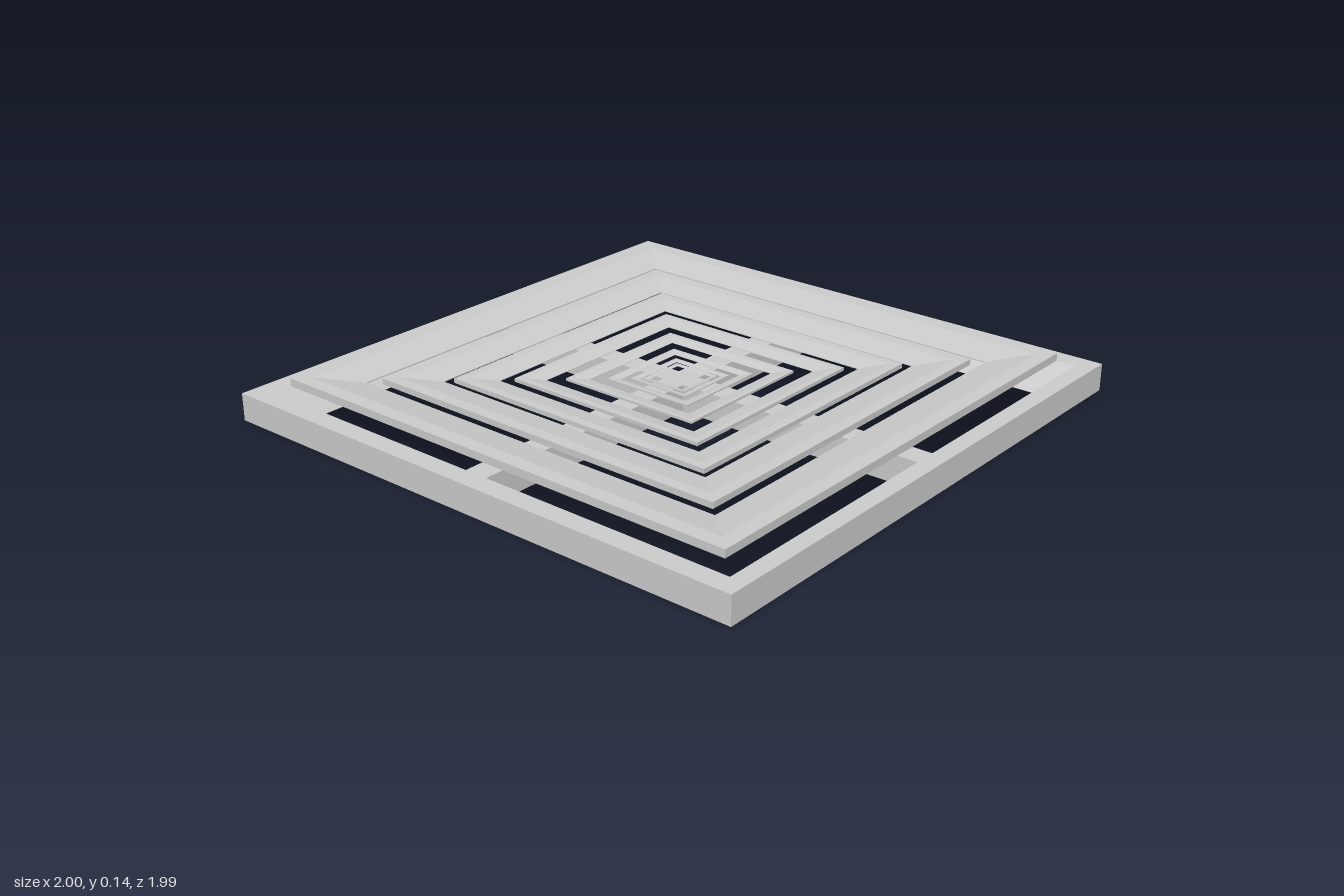
import * as THREE from 'three';

const material = new THREE.MeshStandardMaterial({ color: 0xcccccc, flatShading: true });

// Sweep a closed [halfX, halfZ, y] profile around the four mitred sides.
// Profile order: outer bottom, outer top, inner top, inner bottom.
function mitredFrame(name, profile) {
  const signs = [[-1, 1], [1, 1], [1, -1], [-1, -1]];
  const positions = [];
  for (let s = 0; s < 4; s++) {
    const a = signs[s], b = signs[(s + 1) % 4];
    const at = (p, c) => [p[0] * c[0], p[2], p[1] * c[1]];
    profile.forEach((p, i) => {
      const q = profile[(i + 1) % profile.length];
      positions.push(...at(p, a), ...at(p, b), ...at(q, b));
      positions.push(...at(p, a), ...at(q, b), ...at(q, a));
    });
  }
  const geometry = new THREE.BufferGeometry();
  geometry.setAttribute('position', new THREE.Float32BufferAttribute(positions, 3));
  geometry.computeVertexNormals();
  const mesh = new THREE.Mesh(geometry, material);
  mesh.name = name;
  return mesh;
}

function box(name, w, h, d, x, y, z) {
  const mesh = new THREE.Mesh(new THREE.BoxGeometry(w, h, d), material);
  mesh.position.set(x, y, z);
  mesh.name = name;
  return mesh;
}

export function createModel() {
  const model = new THREE.Group();
  model.name = 'ceilingDiffuser';
  const deck = 0.095;

  // Outer frame with a funnel-shaped opening
  model.add(mitredFrame('outerFrame', [
    [1, 0.995, 0], [1, 0.995, deck], [0.94, 0.925, deck], [0.84, 0.83, 0],
  ]));

  // Crossed support bars, flush with the frame
  const bars = new THREE.Group();
  bars.name = 'supportBars';
  bars.add(box('barAcross', 1.9, 0.094, 0.08, 0, 0.0475, -0.004));
  bars.add(box('barFrontToBack', 0.084, 0.094, 1.88, -0.001, 0.0475, 0));
  model.add(bars);

  // Nested louvre rings: [outer half size, inner half size]
  const louvres = new THREE.Group();
  louvres.name = 'louvreRings';
  const rings = [
    [0.89, 0.72], [0.683, 0.545], [0.521, 0.417], [0.383, 0.31],
    [0.265, 0.211], [0.169, 0.137], [0.114, 0.093], [0.086, 0.07],
  ];
  for (const [outer, inner] of rings) {
    const k = outer / rings[0][0];
    const crest = outer - 0.3 * (outer - inner);
    const ring = (r, h) => [r, r * 0.992, deck + k * h];
    louvres.add(mitredFrame('louvreRing', [
      ring(outer, 0.018), ring(outer, 0.045), ring(crest, 0.045),
      ring(inner, 0.022), ring(inner, 0.018),
    ]));
  }
  model.add(louvres);
  return model;
}
